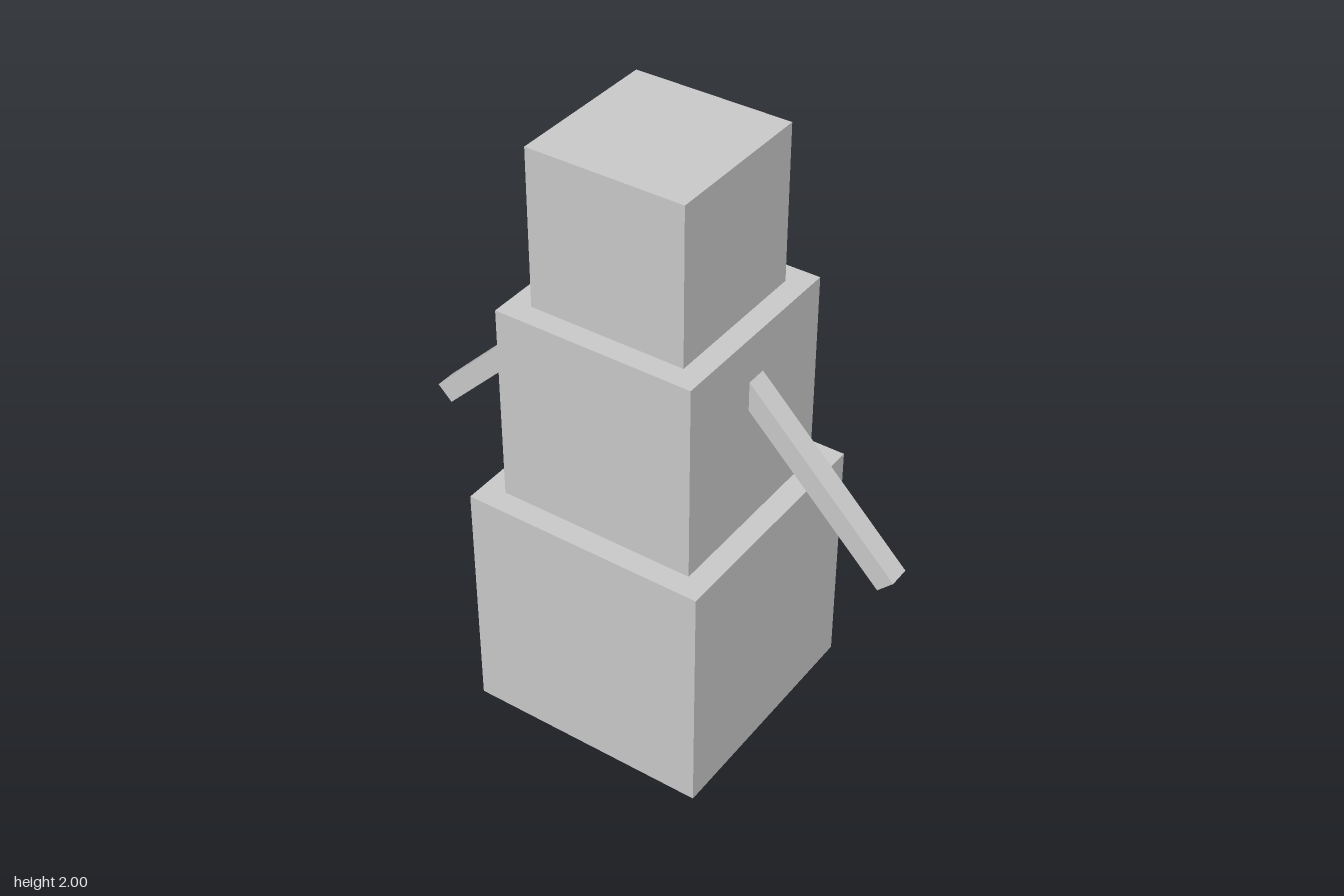
import * as THREE from 'three';

const material = new THREE.MeshStandardMaterial({ color: 0xcccccc, flatShading: true });

function box(name, w, h, d) {
  const mesh = new THREE.Mesh(new THREE.BoxGeometry(w, h, d), material);
  mesh.name = name;
  return mesh;
}

export function createModel() {
  const model = new THREE.Group();
  model.name = 'blockSnowman';

  // Three stacked cubes, each smaller than the one below
  let y = 0;
  for (const [name, size] of [['base', 0.815], ['torso', 0.665], ['head', 0.52]]) {
    const cube = box(name, size, size, size);
    cube.position.y = y + size / 2;
    y += size;
    model.add(cube);
  }

  // Stick arms sloping down at 45 degrees, rooted inside the torso
  const inner = new THREE.Vector2(0.25, 1.36);
  const outer = new THREE.Vector2(0.81, 0.8);
  for (const [name, side] of [['leftArm', 1], ['rightArm', -1]]) {
    const arm = box(name, inner.distanceTo(outer), 0.07, 0.07);
    arm.position.set(side * (inner.x + outer.x) / 2, (inner.y + outer.y) / 2, 0);
    arm.rotation.z = -side * Math.PI / 4;
    model.add(arm);
  }
  return model;
}
